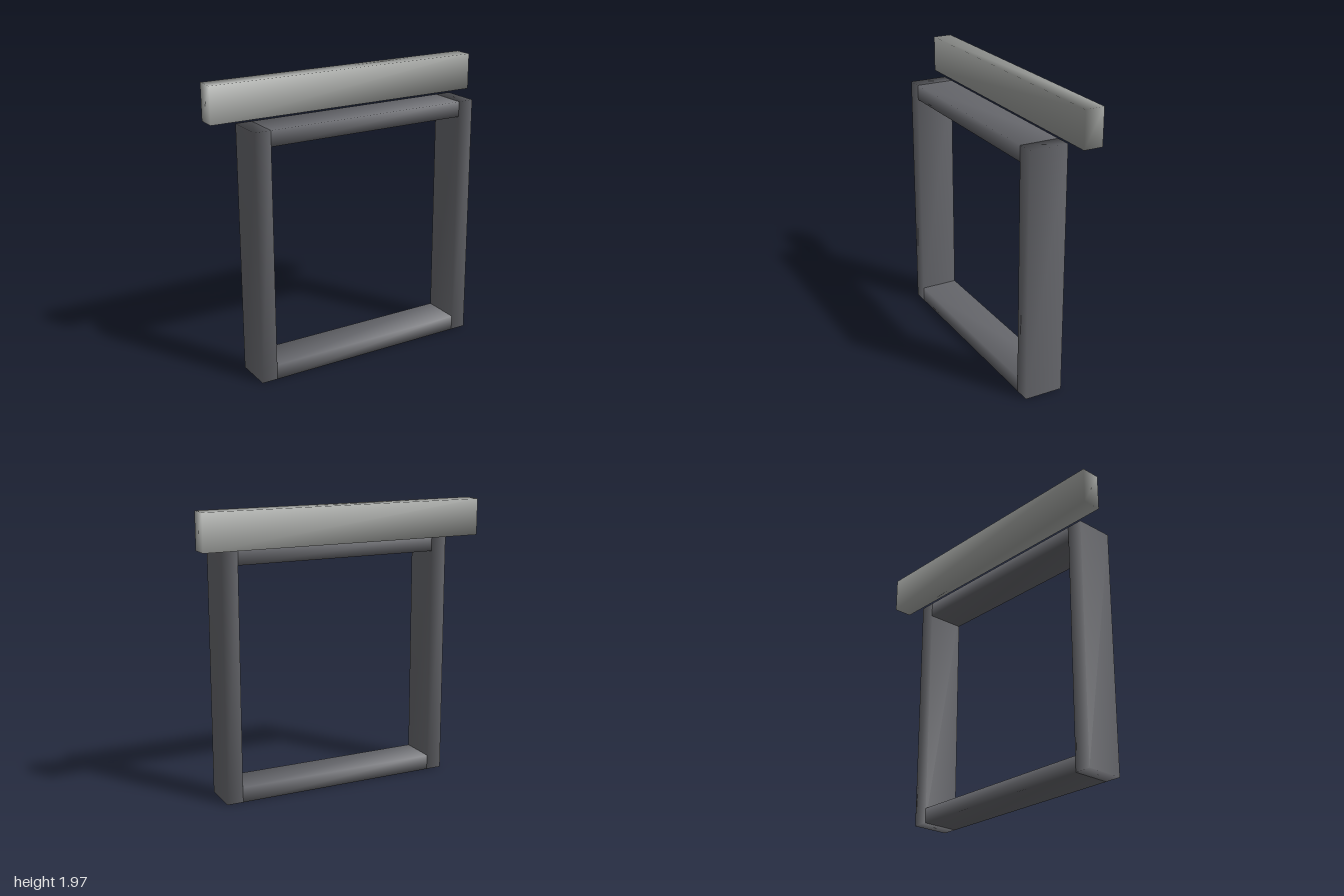
import * as THREE from 'three';
import { mergeVertices } from 'three/addons/utils/BufferGeometryUtils.js';

const frameMaterial = new THREE.MeshStandardMaterial({ color: 0x66676c });
const beamMaterial = new THREE.MeshStandardMaterial({ color: 0xa0a29f });

// Box between two corners, with normals smoothed over its welded corners
function block(name, min, max, material) {
  const size = max.map((v, i) => v - min[i]);
  let geometry = new THREE.BoxGeometry(...size);
  geometry.deleteAttribute('normal');
  geometry.deleteAttribute('uv');
  geometry = mergeVertices(geometry);
  geometry.computeVertexNormals();
  const mesh = new THREE.Mesh(geometry, material);
  mesh.name = name;
  mesh.position.set(...max.map((v, i) => (v + min[i]) / 2));
  return mesh;
}

export function createModel() {
  const model = new THREE.Group();
  model.name = 'framedOpening';

  const back = -0.066, front = 0.2;
  const inner = 0.72, outer = 0.832, height = 1.712, rail = 0.105;

  // Rectangular frame: two full-height posts with rails between them
  const frame = new THREE.Group();
  frame.name = 'frame';
  frame.add(
    block('leftPost', [inner, 0, back], [outer, height, front], frameMaterial),
    block('rightPost', [-outer, 0, back], [-inner, height, front], frameMaterial),
    block('bottomRail', [-inner, 0, back], [inner, rail, front], frameMaterial),
    block('topRail', [-inner, height - rail, back], [inner, height, front], frameMaterial)
  );

  // Wide header beam above and behind the frame
  const beam = block('headerBeam', [-1, 1.72, -0.2], [1, 1.97, -0.068], beamMaterial);

  model.add(frame, beam);
  return model;
}
